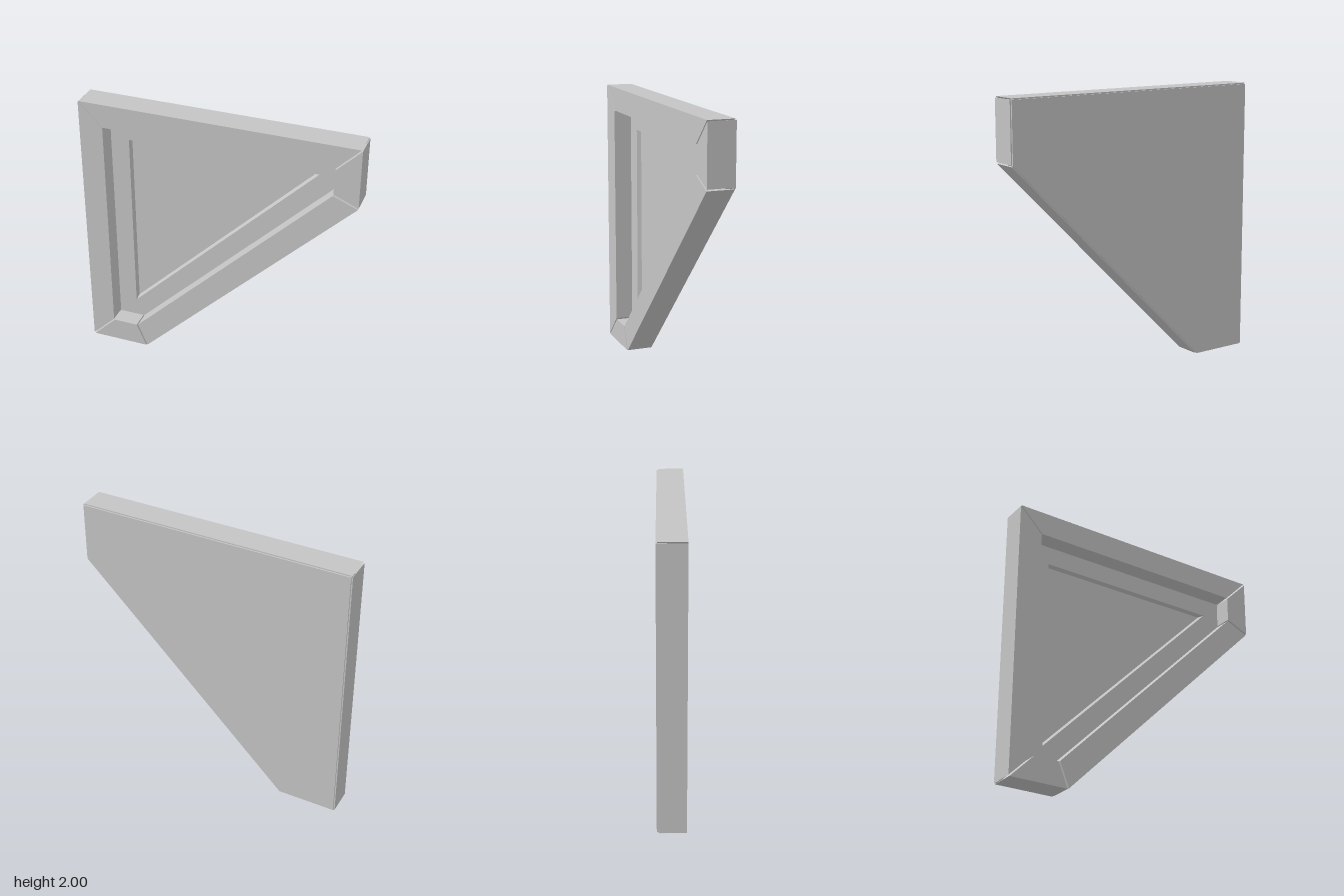
import * as THREE from 'three';

const OUTER = [[-1, 0], [-0.56, 0], [1, 1.56], [1, 2], [-1, 2]].map(p => new THREE.Vector2(...p));
const INNER = [[-0.826, 0.174], [-0.632, 0.174], [0.826, 1.632], [0.826, 1.826], [-0.826, 1.826]]
  .map(p => new THREE.Vector2(...p));
const BACK = -0.1, FLOOR = -0.06, FACE = -0.03, FRONT = 0.1;

// Prism from an outline between two depths
function prism(shape, z0, z1) {
  const geo = new THREE.ExtrudeGeometry(shape, { depth: z1 - z0, bevelEnabled: false });
  return geo.translate(0, 0, z0);
}

export function createModel() {
  const model = new THREE.Group();
  model.name = 'triangularPanel';
  const grey = new THREE.MeshStandardMaterial({ color: 0xc4c4c4 });
  grey.name = 'lightGrey';

  function add(name, geo) {
    const mesh = new THREE.Mesh(geo, grey);
    mesh.name = name;
    model.add(mesh);
  }

  // Backing plate, set in slightly from the frame outline
  const outline = OUTER.map((p, i) => p.clone().lerp(INNER[i], 0.05));
  add('backPlate', prism(new THREE.Shape(outline), BACK, FLOOR));

  // Face plate with a triangular recess whose walls slope inwards
  const face = new THREE.Shape(outline);
  const lo = 0.31, hi = 1.69, side = 0.69;
  face.holes.push(new THREE.Path([
    new THREE.Vector2(-side, lo), new THREE.Vector2(-side, hi), new THREE.Vector2(side, hi)
  ]));
  const faceGeo = prism(face, FLOOR, FACE);
  const radius = (hi - lo) * (1 - Math.SQRT1_2);
  const cx = -side + radius, cy = hi - radius, shrink = 1 - 0.013 / radius;
  const pos = faceGeo.attributes.position;
  for (let i = 0; i < pos.count; i++) {
    const x = pos.getX(i), y = pos.getY(i);
    const onRecess = Math.abs(x) < side + 0.01 && y > lo - 0.01 && y < hi + 0.01;
    if (onRecess && pos.getZ(i) < FLOOR + 0.01) {
      pos.setXY(i, cx + (x - cx) * shrink, cy + (y - cy) * shrink);
    }
  }
  faceGeo.computeVertexNormals();
  add('recessedFace', faceGeo);

  // Mitred frame boards with narrow gaps at the joints
  const names = ['bottomBoard', 'diagonalBoard', 'leftEndBoard', 'topBoard', 'rightSideBoard'];
  names.forEach((name, i) => {
    const j = (i + 1) % OUTER.length;
    const gap = OUTER[j].clone().sub(OUTER[i]).setLength(0.007);
    const corners = [
      OUTER[i].clone().add(gap), OUTER[j].clone().sub(gap),
      INNER[j].clone().sub(gap), INNER[i].clone().add(gap)
    ];
    add(name, prism(new THREE.Shape(corners), BACK + 0.01, FRONT));
  });

  return model;
}
